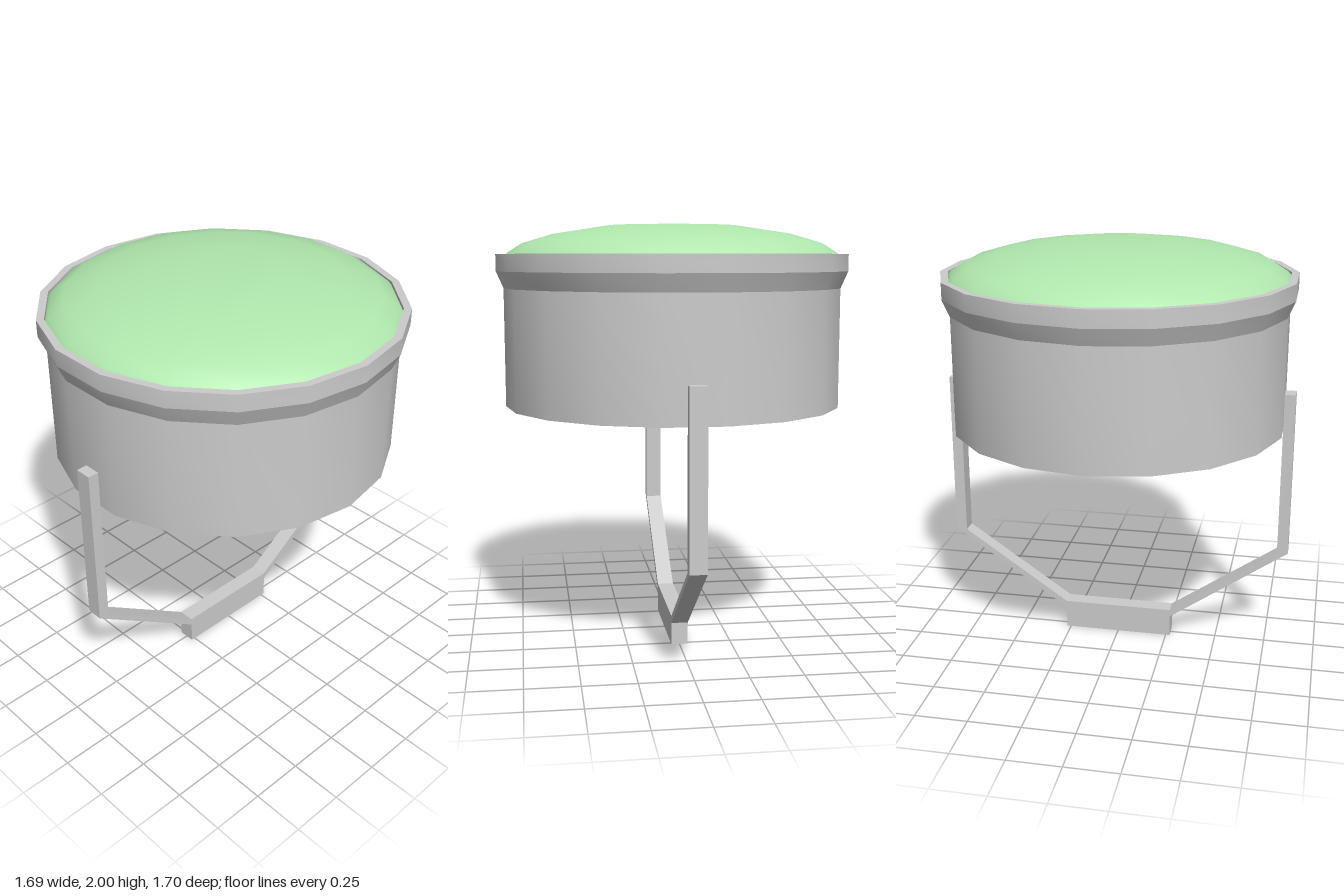
import * as THREE from 'three';
import { toCreasedNormals } from 'three/addons/utils/BufferGeometryUtils.js';

const SIDES = 18;

// Revolve a (radius, y) profile with a corner on the x axis, keeping hard edges
function revolve(profile, crease) {
  const points = profile.map(([r, y]) => new THREE.Vector2(r, y));
  const lathe = new THREE.LatheGeometry(points, SIDES, Math.PI / 2, Math.PI * 2);
  return toCreasedNormals(lathe, crease);
}

export function createModel() {
  const model = new THREE.Group();
  const grey = new THREE.MeshStandardMaterial({ color: 0xcccccc });
  const green = new THREE.MeshStandardMaterial({ color: 0xb0e8ae });

  const add = (name, geometry, material) => {
    const mesh = new THREE.Mesh(geometry, material);
    mesh.name = name;
    model.add(mesh);
  };

  // Open drum with a flared rim: up the outside, down the inside
  add('housing', revolve([
    [0.808, 1.14], [0.808, 1.705], [0.843, 1.785], [0.843, 1.865],
    [0.807, 1.865], [0.807, 1.79], [0.775, 1.71], [0.775, 1.14], [0.808, 1.14],
  ], 0.36), grey);

  // Domed lens with a flat underside
  add('lens', revolve([
    [0, 1.70], [0.776, 1.70], [0.806, 1.79], [0.806, 1.85], [0.79, 1.87],
    [0.72, 1.915], [0.57, 1.96], [0.31, 2.0], [0, 2.0],
  ], 0.6), green);

  // Bracket: one half of the outline, mirrored, then extruded across x
  const outer = [[0.27, 0], [0.27, 0.107], [0.85, 0.51], [0.85, 1.32]];
  const inner = [[0.797, 1.32], [0.797, 0.505], [0.27, 0.143]];
  const half = [...outer, ...inner];
  const mirrored = half.map(([z, y]) => [-z, y]).reverse();
  const outline = [...half, ...mirrored].map(([z, y]) => new THREE.Vector2(z, y));
  const bracket = new THREE.ExtrudeGeometry(new THREE.Shape(outline), {
    depth: 0.08, bevelEnabled: false,
  });
  bracket.translate(0, 0, -0.04).rotateY(Math.PI / 2);
  add('bracket', bracket, grey);

  return model;
}
